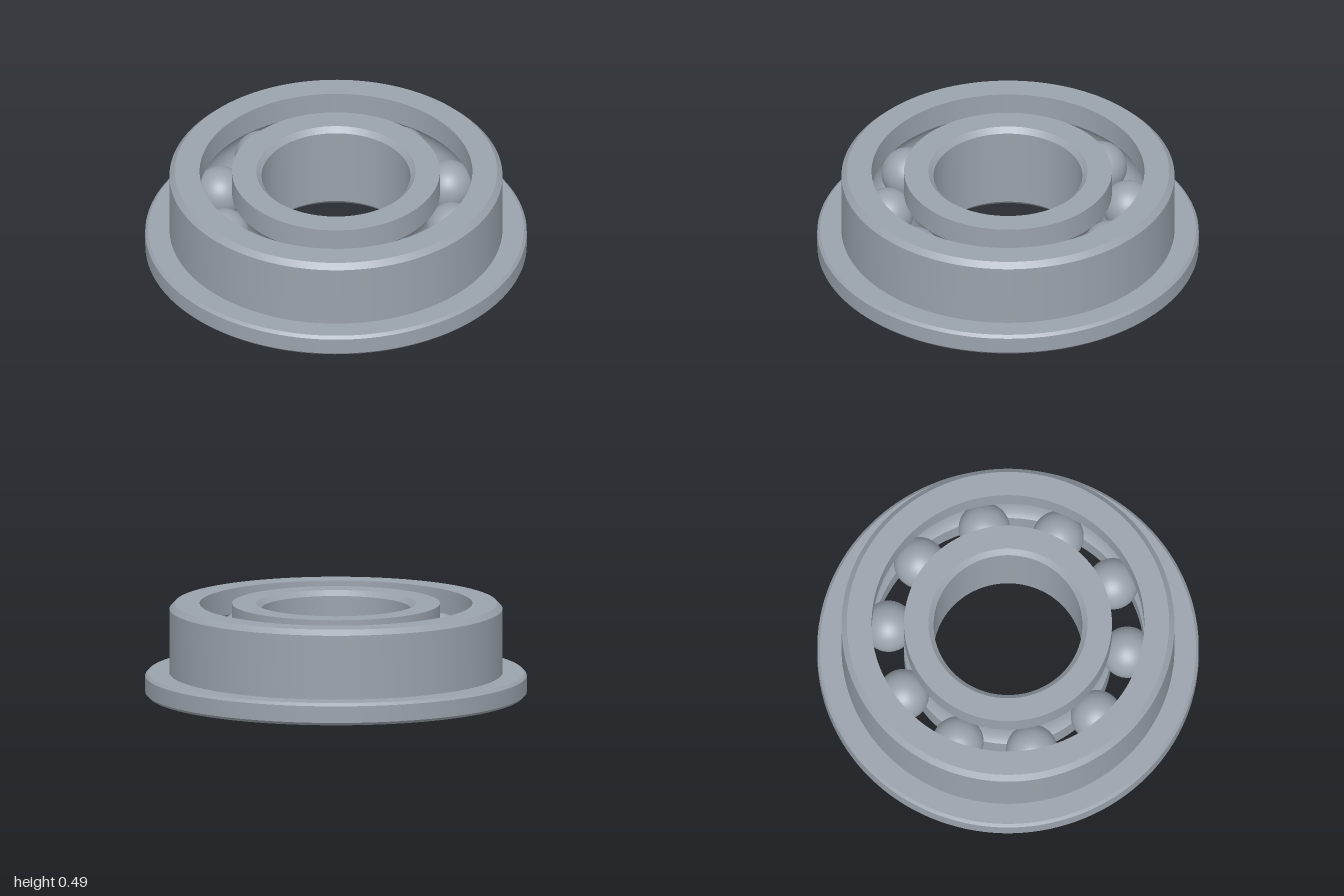
import * as THREE from 'three';
import { toCreasedNormals } from 'three/addons/utils/BufferGeometryUtils.js';

const HEIGHT = 0.485, MID = HEIGHT / 2;
const PITCH = 0.63, BALL_R = 0.135, GROOVE_R = 0.138;
const INNER_R = 0.545, OUTER_R = 0.715, BALLS = 10;

// Points of the ball groove in a ring's cross-section, from angle a to angle b
function groove(a, b, steps = 14) {
  return Array.from({ length: steps + 1 }, (_, i) => {
    const t = a + ((b - a) * i) / steps;
    return [PITCH + GROOVE_R * Math.cos(t), MID + GROOVE_R * Math.sin(t)];
  });
}

// Closed cross-section, counter-clockwise, turned about the y axis
function ring(name, profile, material) {
  const points = [...profile, profile[0]].map(([r, y]) => new THREE.Vector2(r, y));
  const geometry = toCreasedNormals(new THREE.LatheGeometry(points, 128), Math.PI / 6);
  const mesh = new THREE.Mesh(geometry, material);
  mesh.name = name;
  return mesh;
}

export function createModel() {
  const steel = new THREE.MeshStandardMaterial({ color: 0x9aa2ac });
  steel.name = 'steel';
  const model = new THREE.Group();
  model.name = 'flangedBallBearing';

  // Outer ring with flange, chamfered edges and groove
  const outer = Math.acos((OUTER_R - PITCH) / GROOVE_R);
  model.add(ring('outerRing', [
    [OUTER_R, 0], [0.985, 0], [1, 0.015], [1, 0.103], [0.985, 0.118],
    [0.873, 0.118], [0.873, 0.457], [0.845, HEIGHT], [OUTER_R, HEIGHT],
    ...groove(outer, -outer),
  ], steel));

  // Inner ring with groove and chamfered bore
  const inner = Math.acos((PITCH - INNER_R) / GROOVE_R);
  model.add(ring('innerRing', [
    [0.39, 0.027], [0.417, 0], [INNER_R, 0],
    ...groove(Math.PI + inner, Math.PI - inner),
    [INNER_R, HEIGHT], [0.417, HEIGHT], [0.39, HEIGHT - 0.027],
  ], steel));

  // Balls
  const balls = new THREE.Group();
  balls.name = 'balls';
  const ballGeometry = new THREE.SphereGeometry(BALL_R, 40, 28);
  for (let i = 0; i < BALLS; i++) {
    const angle = 0.208 + (i / BALLS) * Math.PI * 2;
    const ball = new THREE.Mesh(ballGeometry, steel);
    ball.name = 'ball';
    ball.position.set(PITCH * Math.cos(angle), MID, PITCH * Math.sin(angle));
    balls.add(ball);
  }
  model.add(balls);
  return model;
}
